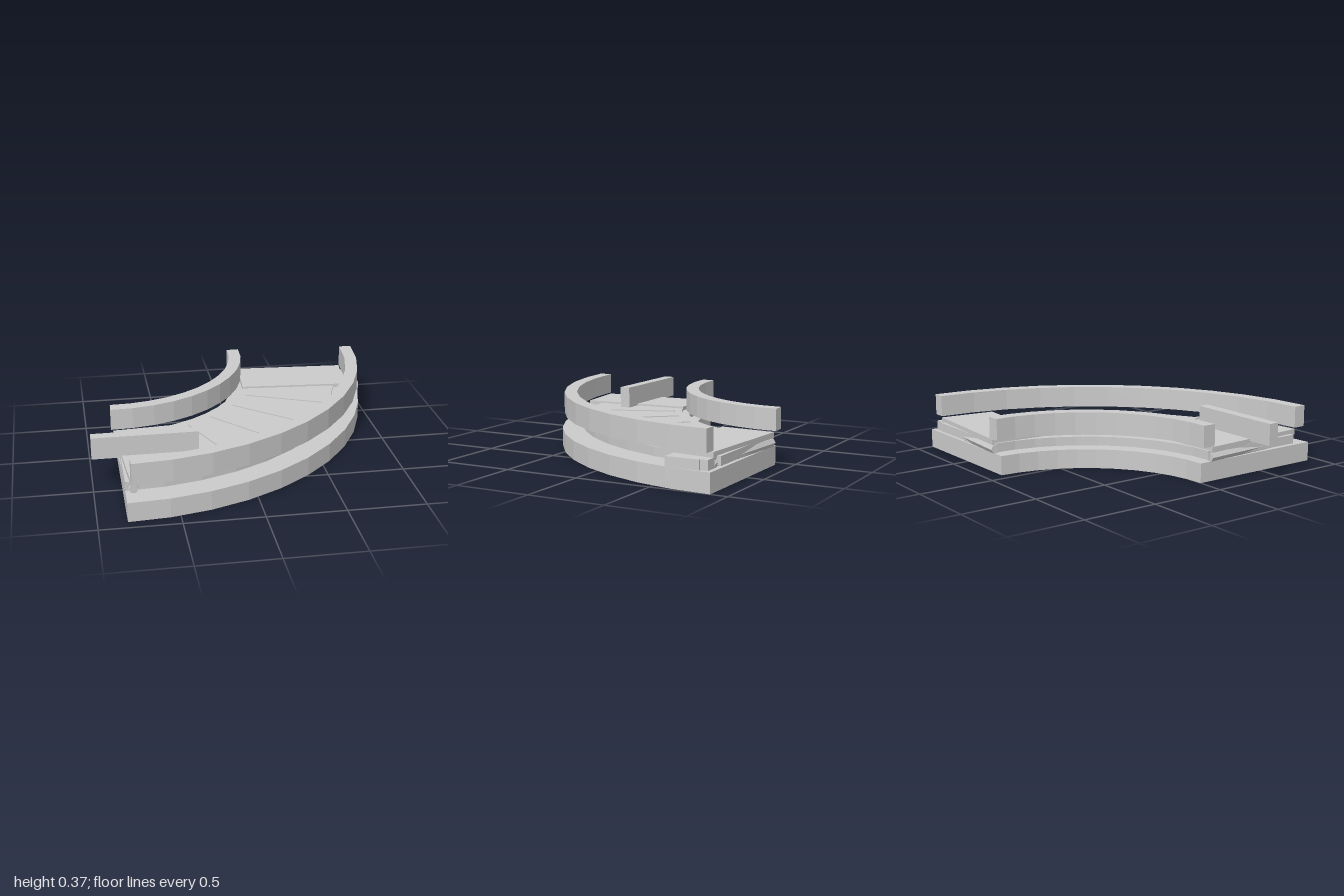
import * as THREE from 'three';

const CX = -0.82, CZ = -0.89; // centre of the bend
const material = new THREE.MeshStandardMaterial({ color: 0xcccccc, flatShading: true });

function add(group, name, geometry) {
  const mesh = new THREE.Mesh(geometry, material);
  mesh.name = name;
  group.add(mesh);
  return mesh;
}

// Prism over an outline of [x, z] points
function slab(points, y0, y1) {
  const shape = new THREE.Shape(points.map(([x, z]) => new THREE.Vector2(x, z)));
  const g = new THREE.ExtrudeGeometry(shape, { depth: y1 - y0, bevelEnabled: false });
  return g.rotateX(Math.PI / 2).translate(0, y1, 0);
}

// Faceted arc of rectangular section; angles in degrees from +x towards +z
function arc(r0, r1, y0, y1, a0 = 0, a1 = 90, n = 11) {
  const outer = [], inner = [];
  for (let i = 0; i <= n; i++) {
    const a = THREE.MathUtils.degToRad(a0 + (a1 - a0) * i / n);
    const c = Math.cos(a), s = Math.sin(a);
    outer.push([CX + r1 * c, CZ + r1 * s]);
    inner.unshift([CX + r0 * c, CZ + r0 * s]);
  }
  return slab([...outer, ...inner], y0, y1);
}

// Box lying along a line between two [x, z] points
function bar(group, name, [x0, z0], [x1, z1], width, y0, y1) {
  const g = new THREE.BoxGeometry(Math.hypot(x1 - x0, z1 - z0), y1 - y0, width);
  const mesh = add(group, name, g);
  mesh.position.set((x0 + x1) / 2, (y0 + y1) / 2, (z0 + z1) / 2);
  mesh.rotation.y = -Math.atan2(z1 - z0, x1 - x0);
}

// Swap a point across the diagonal of the bend
const mirror = ([x, z]) => [z - CZ + CX, x - CX + CZ];

export function createModel() {
  const group = new THREE.Group();

  // Base and floating side rails
  add(group, 'base', arc(0.89, 1.82, 0, 0.125));
  add(group, 'innerRail', arc(0.885, 0.97, 0.23, 0.37, -2, 92));
  add(group, 'outerRail', arc(1.72, 1.805, 0.23, 0.37, 1, 89));

  // Stepped deck
  add(group, 'deck', arc(0.95, 1.68, 0.137, 0.195));
  add(group, 'deckTop', arc(1.0, 1.635, 0.19, 0.21, 8, 82));

  // End plates and end rollers
  const plate = [[0.145, -0.91], [0.9, -0.86], [0.855, -0.49], [0.12, -0.545]];
  const rollerEnds = [[0.14, -0.89], [0.88, -0.84]];
  for (const [side, map] of [['back', p => p], ['left', mirror]]) {
    add(group, side === 'back' ? 'backEndPlate' : 'rightEndPlate', slab(plate.map(map), 0.185, 0.222));
    const [a, b] = rollerEnds.map(map);
    const length = Math.hypot(b[0] - a[0], b[1] - a[1]);
    const roller = add(group, side === 'back' ? 'backRoller' : 'rightRoller',
      new THREE.CylinderGeometry(0.03, 0.03, length, 6).rotateZ(Math.PI / 2));
    roller.position.set((a[0] + b[0]) / 2, 0.155, (a[1] + b[1]) / 2);
    roller.rotation.y = -Math.atan2(b[1] - a[1], b[0] - a[0]);
  }

  // Slats across the belt
  const slats = [
    [[0.12, -0.42], [0.66, -0.185]],
    [[0.005, -0.25], [0.45, 0.135]],
    [[-0.17, -0.075], [0.21, 0.375]],
    [[-0.335, 0.04], [-0.115, 0.585]],
  ];
  slats.forEach(([a, b], i) => bar(group, 'slat' + (i + 1), a, b, 0.025, 0.13, 0.217));

  // Diverter arm and side drive box
  bar(group, 'arm', [-1, 0.437], [-0.33, 0.437], 0.07, 0.21, 0.352);
  bar(group, 'driveBox', [0.86, -0.7], [0.98, -0.7], 0.22, 0.05, 0.188);
  bar(group, 'driveMount', [0.86, -0.83], [0.97, -0.83], 0.06, 0.12, 0.188);

  return group;
}
